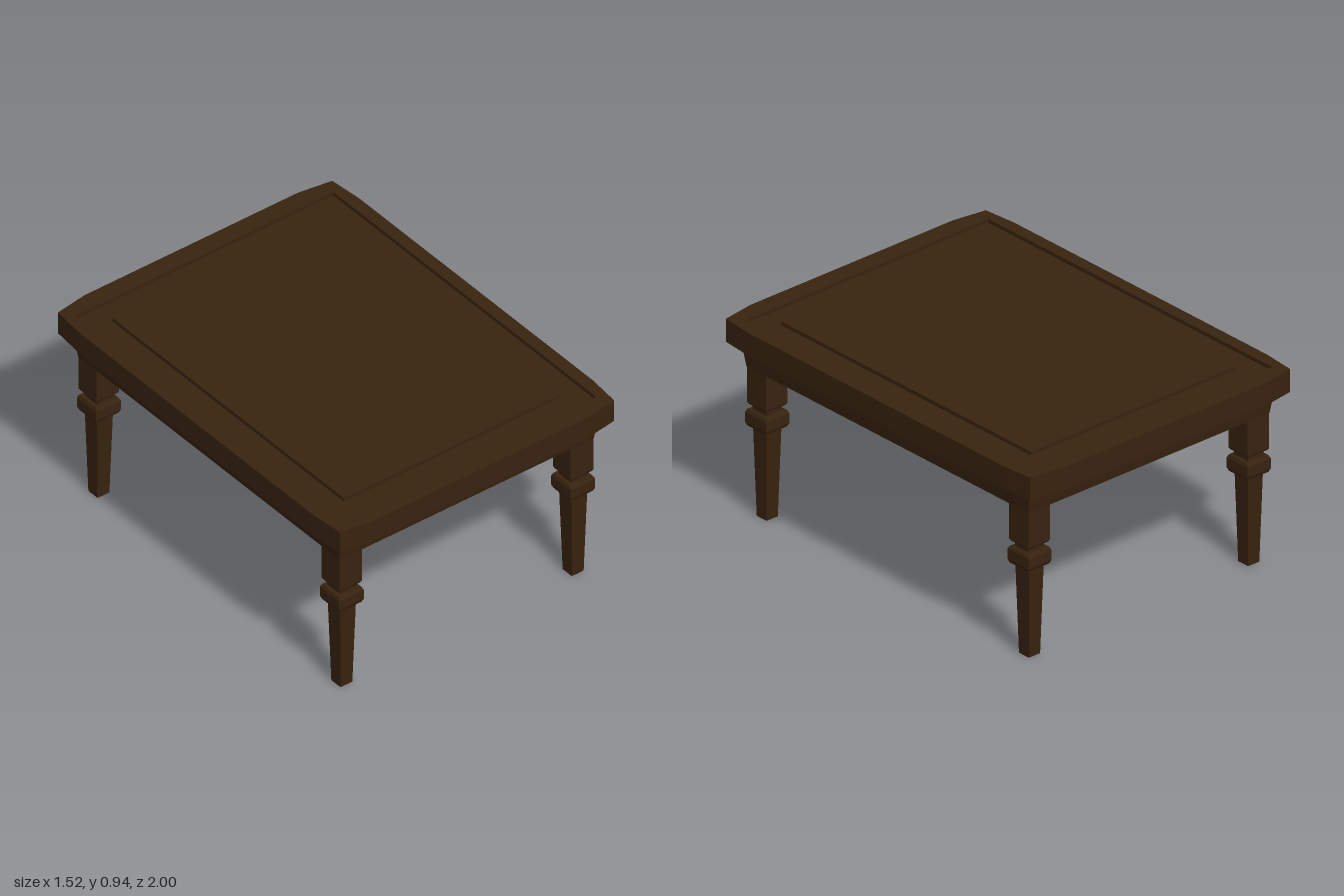
import * as THREE from 'three';

const wood = new THREE.MeshStandardMaterial({ color: 0x38230f, flatShading: true });

// Skin rectangular rings [halfX, halfZ, y]; sides face outward as the rings go up
function loft(rings) {
  const corners = [[1, 1], [1, -1], [-1, -1], [-1, 1]];
  const point = ([hx, hz, y], i) => [hx * corners[i % 4][0], y, hz * corners[i % 4][1]];
  const pos = [];
  for (let r = 0; r < rings.length - 1; r++) {
    for (let i = 0; i < 4; i++) {
      const a = point(rings[r], i), b = point(rings[r], i + 1);
      const c = point(rings[r + 1], i + 1), d = point(rings[r + 1], i);
      pos.push(...a, ...b, ...c, ...a, ...c, ...d);
    }
  }
  const geo = new THREE.BufferGeometry();
  geo.setAttribute('position', new THREE.Float32BufferAttribute(pos, 3));
  geo.computeVertexNormals();
  return geo;
}

// Extrude a plan shape upward from y0 to y1
function plate(shape, y0, y1) {
  const geo = new THREE.ExtrudeGeometry(shape, { depth: y1 - y0, bevelEnabled: false });
  return geo.rotateX(-Math.PI / 2).translate(0, y0, 0);
}

function outline() {
  return new THREE.Shape([
    [0.58, -1], [0.745, -0.975], [0.76, -0.81], [0.76, 0.81], [0.745, 0.975], [0.58, 1],
    [-0.58, 1], [-0.745, 0.975], [-0.76, 0.81], [-0.76, -0.81], [-0.745, -0.975], [-0.58, -1],
  ].map(([x, y]) => new THREE.Vector2(x, y)));
}

export function createModel() {
  const table = new THREE.Group();
  table.name = 'table';
  const add = (name, geo, x = 0, z = 0) => {
    const mesh = new THREE.Mesh(geo, wood);
    mesh.name = name;
    mesh.position.set(x, 0, z);
    table.add(mesh);
  };

  // Top: slab, raised rim and centre panel with a shallow groove between them
  const grooveY = 0.922, topY = 0.94;
  add('topSlab', plate(outline(), 0.83, grooveY));
  const rim = outline();
  rim.holes.push(new THREE.Path([
    new THREE.Vector2(-0.7, -0.91), new THREE.Vector2(-0.7, 0.91),
    new THREE.Vector2(0.7, 0.91), new THREE.Vector2(0.7, -0.91),
  ]));
  add('topRim', plate(rim, grooveY, topY));
  add('centrePanel', new THREE.BoxGeometry(1.17, topY - grooveY, 1.6)
    .translate(0, (topY + grooveY) / 2, 0));

  // Apron: hollow frame flaring outward under the top
  add('apron', loft([
    [0.585, 0.8, 0.83], [0.585, 0.8, 0.72], [0.69, 0.904, 0.72], [0.704, 0.92, 0.83],
  ]));

  // Square legs: tapered shaft, bevelled collar, neck and upper block
  const profile = [
    [0, 0], [0.032, 0], [0.043, 0.435], [0.06, 0.435], [0.067, 0.452], [0.067, 0.5],
    [0.06, 0.515], [0.044, 0.515], [0.044, 0.54], [0.056, 0.54], [0.0615, 0.55], [0.0615, 0.725],
  ];
  const legGeo = loft(profile.map(([h, y]) => [h, h, y]));
  for (const [side, sx] of [['Left', 1], ['Right', -1]]) {
    for (const [end, sz] of [['front', 1], ['back', -1]]) {
      add(`${end}${side}Leg`, legGeo, sx * 0.628, sz * 0.84);
    }
  }
  return table;
}
